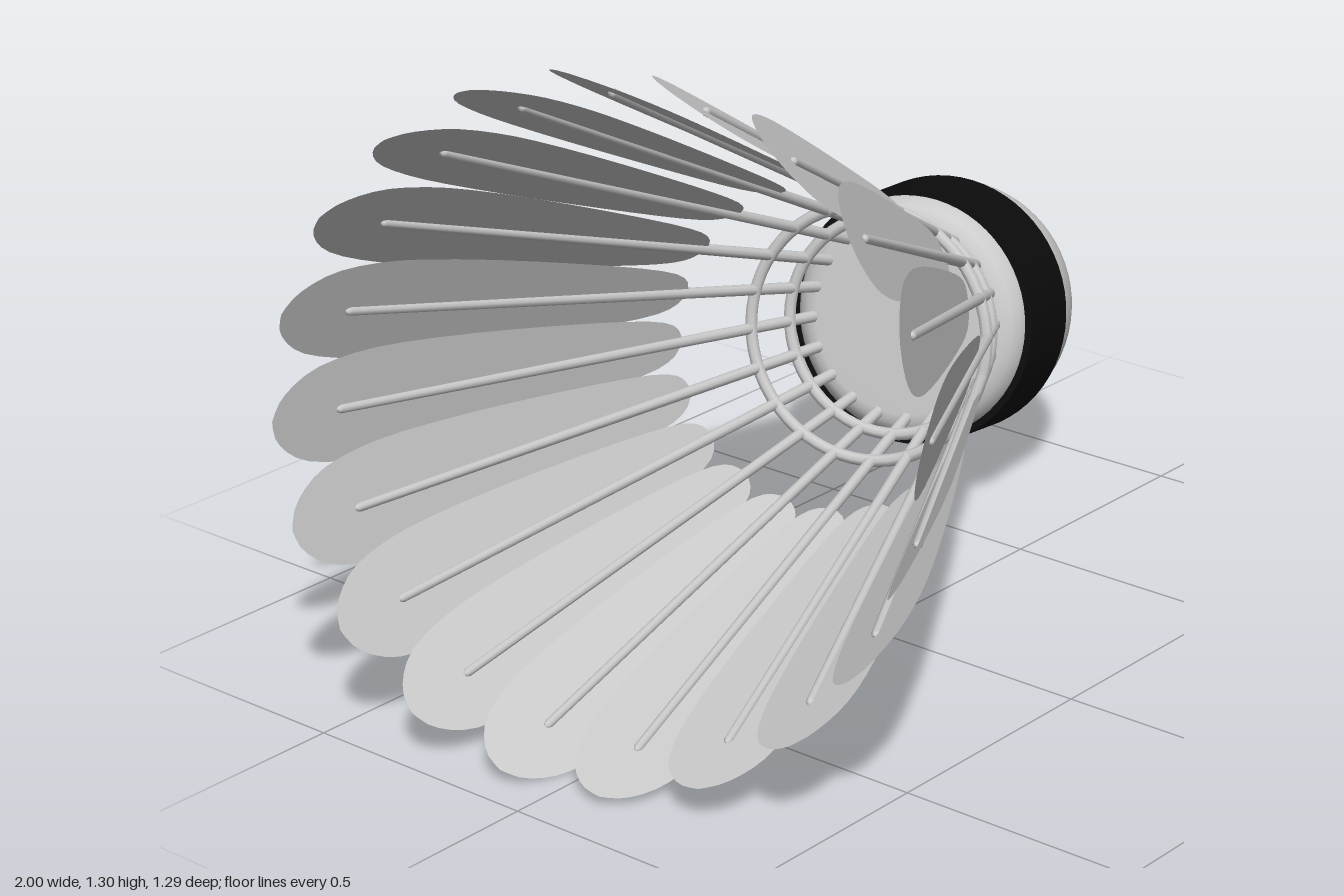
import * as THREE from 'three';

const FEATHERS = 20;
const TIP_R = 0.655;    // skirt radius at the feather tips
const SLOPE = 0.323;    // how fast the skirt narrows toward the cork
const PHASE = THREE.MathUtils.degToRad(9);
const v2 = (p) => new THREE.Vector2(p[0], p[1]);

const grey = new THREE.MeshStandardMaterial({ color: 0xcccccc });
const thin = new THREE.MeshStandardMaterial({ color: 0xcccccc, side: THREE.DoubleSide });
const black = new THREE.MeshStandardMaterial({ color: 0x0c0c0c });

function mesh(name, geometry, material) {
  const m = new THREE.Mesh(geometry, material);
  m.name = name;
  return m;
}

// Feather vane: outline given as [half width, distance from the tip]
function vaneGeometry() {
  const side = [[0, 0], [0.035, 0.012], [0.068, 0.045], [0.095, 0.1], [0.11, 0.19], [0.113, 0.3],
    [0.105, 0.48], [0.088, 0.7], [0.068, 0.9], [0.05, 1.01], [0.028, 1.055], [0, 1.07]];
  const half = new THREE.SplineCurve(side.map(v2)).getPoints(22);
  const mirrored = half.slice(1, -1).reverse().map((p) => new THREE.Vector2(-p.x, p.y));
  return new THREE.ShapeGeometry(new THREE.Shape([...half, ...mirrored])).rotateY(-Math.PI / 2);
}

// Feather quill: thin tapered rod with a rounded end
function quillGeometry() {
  const profile = [[0, 0.155], [0.006, 0.158], [0.009, 0.166], [0.0125, 1.51]];
  return new THREE.LatheGeometry(profile.map(v2), 10);
}

// Cork: flat back, rounded rim, straight barrel and a hemispherical nose
function corkGeometry() {
  const R = 0.268;
  const points = [[0, -0.225], [0.2, -0.225], [0.22, -0.222], [0.24, -0.21], [0.253, -0.19], [0.26, -0.165]].map(v2);
  for (let i = 0; i <= 24; i++) {
    const a = (i / 24) * Math.PI / 2;
    points.push(new THREE.Vector2(R * Math.cos(a), R * Math.sin(a)));
  }
  return new THREE.LatheGeometry(points, 64);
}

export function createModel() {
  const model = new THREE.Group();
  model.name = 'shuttlecock';

  // Body frame: +y runs from the feather tips to the nose
  const body = new THREE.Group();
  body.name = 'body';
  const axis = new THREE.Vector3(0.957, -0.174, -0.24).normalize();
  const across = new THREE.Vector3(0, 0, 1).addScaledVector(axis, -axis.z).normalize();
  const up = new THREE.Vector3().crossVectors(across, axis);
  body.quaternion.setFromRotationMatrix(new THREE.Matrix4().makeBasis(across, axis, up));
  body.position.set(-0.8, 0.655, 0);
  model.add(body);

  // Ring of overlapping feathers
  const vane = vaneGeometry();
  const quill = quillGeometry();
  for (let i = 0; i < FEATHERS; i++) {
    const spoke = new THREE.Group();
    spoke.name = 'feather';
    spoke.rotation.y = -(PHASE + (i * 2 * Math.PI) / FEATHERS);
    const lean = new THREE.Group();
    lean.name = 'featherLean';
    lean.position.x = TIP_R;
    lean.rotation.z = Math.atan(SLOPE);
    const blade = mesh('vane', vane, thin);
    blade.rotation.y = THREE.MathUtils.degToRad(14);
    lean.add(blade, mesh('quill', quill, grey));
    spoke.add(lean);
    body.add(spoke);
  }

  // Two binding threads around the quills
  for (const y of [1.21, 1.32]) {
    const ring = mesh('bindingThread', new THREE.TorusGeometry(TIP_R - SLOPE * y, 0.013, 8, 60), grey);
    ring.rotation.x = Math.PI / 2;
    ring.position.y = y;
    body.add(ring);
  }

  // Cork head and its dark band
  const cork = mesh('cork', corkGeometry(), grey);
  const band = mesh('band', new THREE.CylinderGeometry(0.277, 0.271, 0.178, 64), black);
  band.geometry = new THREE.LatheGeometry(
    [[0.25, -0.178], [0.271, -0.178], [0.271, -0.178], [0.276, 0], [0.276, 0], [0.25, 0]].map(v2), 64);
  cork.position.y = band.position.y = 1.61;
  body.add(cork, band);

  return model;
}
